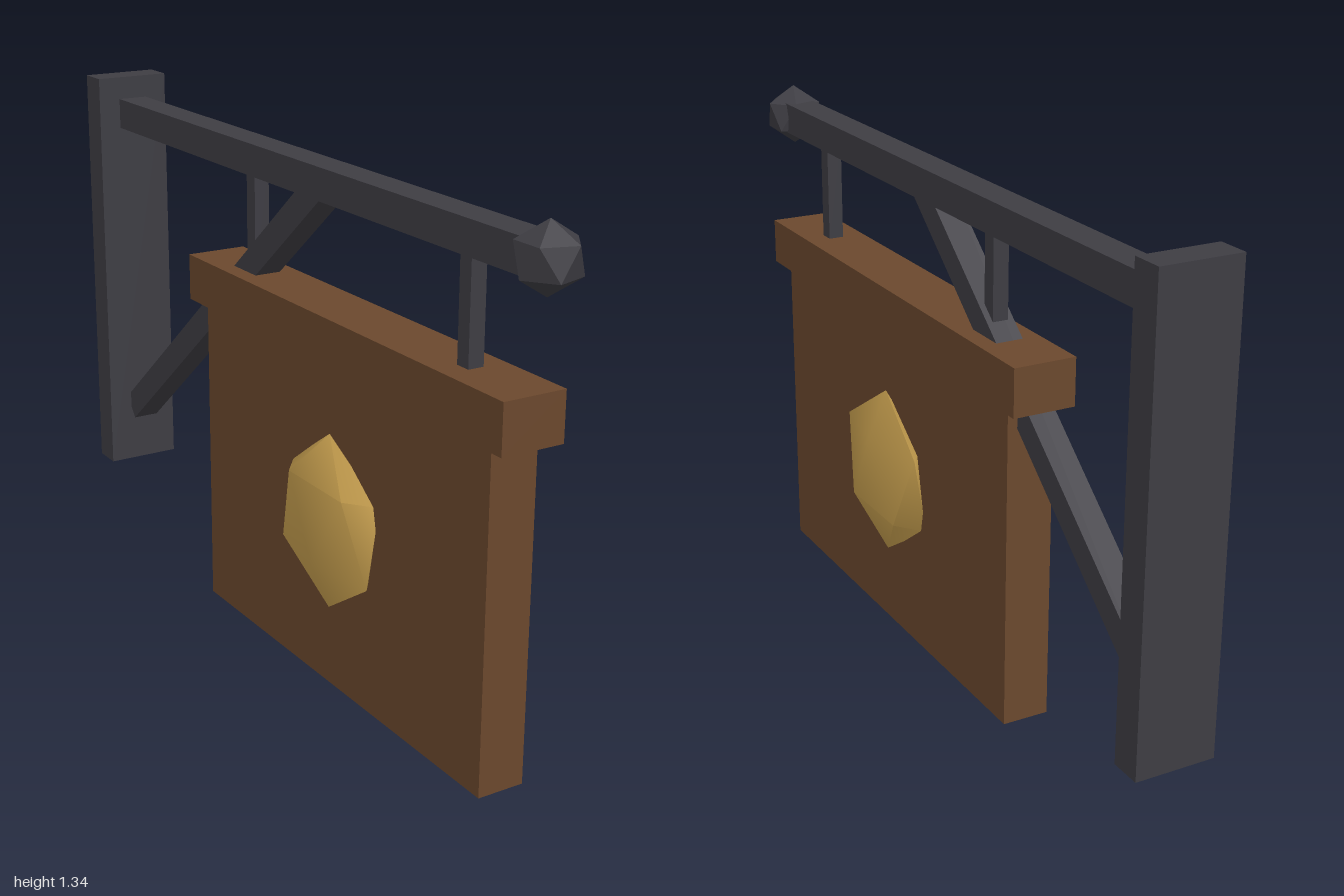
import * as THREE from 'three';
import { toCreasedNormals } from 'three/addons/utils/BufferGeometryUtils.js';

const material = (name, color) => {
  const m = new THREE.MeshStandardMaterial({ color });
  m.name = name;
  return m;
};

export function createModel() {
  const group = new THREE.Group();
  const iron = material('dark iron', 0x3e3d43);
  const wood = material('brown wood', 0x6b482d);
  const gold = material('gold', 0xc8a04f);

  const add = (name, geometry, mat) => {
    const mesh = new THREE.Mesh(geometry, mat);
    mesh.name = name;
    group.add(mesh);
    return mesh;
  };

  // box from its half width in x and its y and z ranges
  const box = (name, mat, halfX, y0, y1, z0, z1) => {
    const mesh = add(name, new THREE.BoxGeometry(halfX * 2, y1 - y0, z1 - z0), mat);
    mesh.position.set(0, (y0 + y1) / 2, (z0 + z1) / 2);
    return mesh;
  };

  // icosahedron standing on a vertex
  const gem = (radius) =>
    new THREE.IcosahedronGeometry(radius, 0).rotateZ(-Math.atan2(Math.sqrt(5) - 1, 2));

  // wall bracket
  box('wallPlate', iron, 0.1, 0.21, 1.335, -1, -0.92);
  box('beam', iron, 0.04, 1.195, 1.275, -0.93, 0.92);

  // diagonal brace from the plate up into the beam
  const low = new THREE.Vector3(0, 0.37, -0.92);
  const high = new THREE.Vector3(0, 1.228, 0.117);
  const brace = add('brace', new THREE.BoxGeometry(0.07, 0.07, low.distanceTo(high)), iron);
  brace.position.copy(low).add(high).multiplyScalar(0.5);
  brace.lookAt(high);

  // faceted end knob
  add('endKnob', gem(0.08), iron).position.set(0, 1.235, 0.932);

  // hangers
  for (const z of [0.688, -0.217]) box('hanger', iron, 0.02, 0.93, 1.21, z - 0.02, z + 0.02);

  // sign board and its top rail
  box('signBoard', wood, 0.06, 0, 0.84, -0.38, 0.85);
  box('topRail', wood, 0.08, 0.825, 0.945, -0.44, 0.91);

  // flattened medallion on each side of the board
  for (const side of [1, -1]) {
    const geometry = toCreasedNormals(gem(1).scale(0.058, 0.225, 0.225), Math.PI / 4);
    add('medallion', geometry, gold).position.set(side * 0.067, 0.435, 0.235);
  }
  return group;
}
